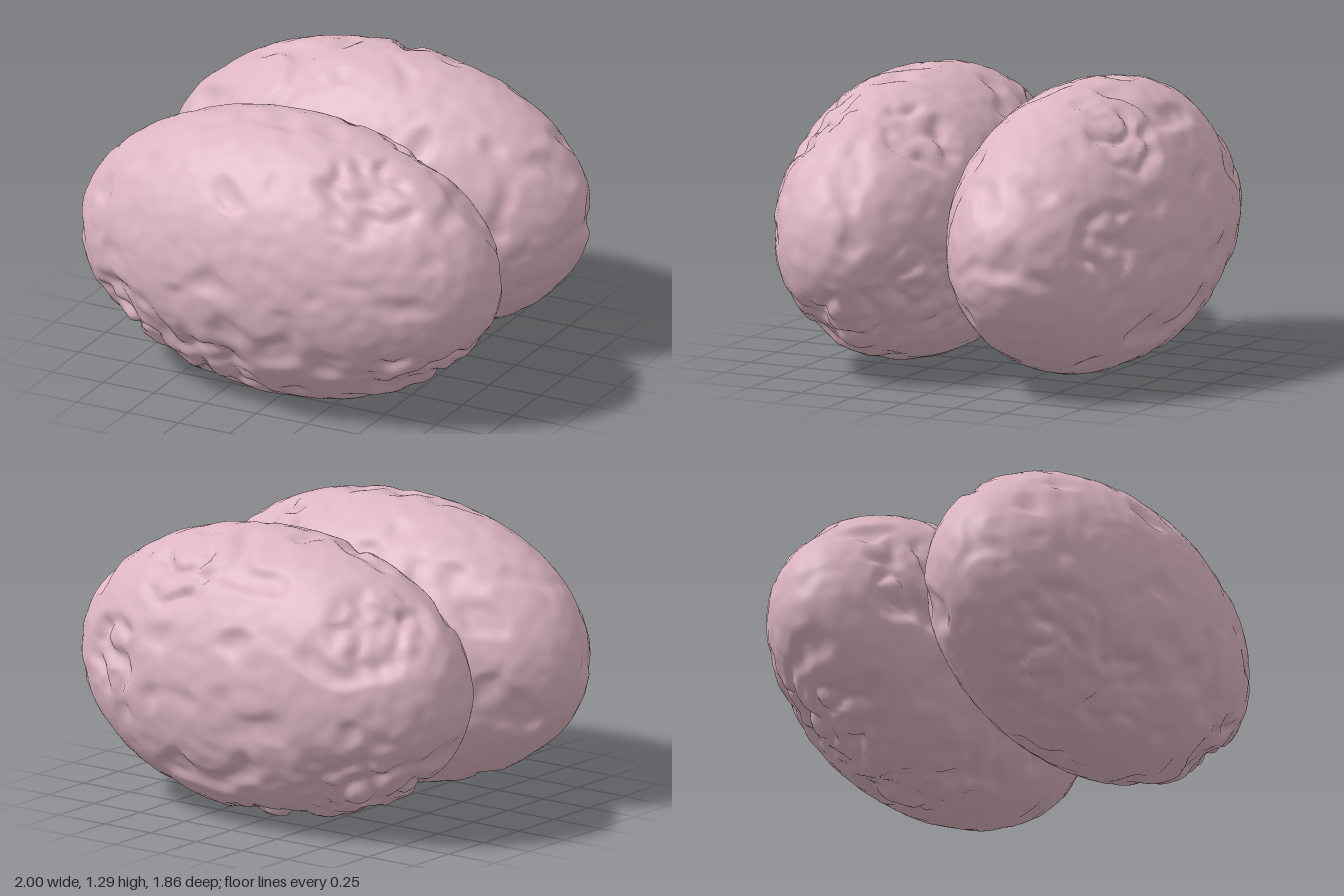
import * as THREE from 'three';
import { mergeVertices } from 'three/addons/utils/BufferGeometryUtils.js';

// Seeded lattice value, -1..1
function hash(x, y, z, seed) {
  let h = Math.imul(x, 374761393) ^ Math.imul(y, 668265263) ^ Math.imul(z, 2147477817) ^ Math.imul(seed, 974711);
  h = Math.imul(h ^ (h >>> 13), 1274126177);
  h = Math.imul(h ^ (h >>> 15), 2246822519);
  return ((h ^ (h >>> 16)) >>> 0) / 2147483648 - 1;
}

// Smooth 3D gradient noise, about -0.7..0.7
function noise(x, y, z, seed) {
  const ix = Math.floor(x), iy = Math.floor(y), iz = Math.floor(z);
  const fx = x - ix, fy = y - iy, fz = z - iz;
  const ease = (t) => t * t * t * (t * (t * 6 - 15) + 10);
  const u = ease(fx), v = ease(fy), w = ease(fz);
  let sum = 0;
  for (let i = 0; i < 8; i++) {
    const a = i & 1, b = (i >> 1) & 1, c = i >> 2;
    const g = [0, 1, 2].map((k) => hash(ix + a, iy + b, iz + c, seed + k * 101));
    const slope = g[0] * (fx - a) + g[1] * (fy - b) + g[2] * (fz - c);
    sum += slope * (a ? u : 1 - u) * (b ? v : 1 - v) * (c ? w : 1 - w);
  }
  return sum;
}

// Ellipsoid with shallow dents all over and recessed, wrinkled patches [x, y, z, radius]
function lobeGeometry(rx, ry, rz, seed, patches) {
  let geo = new THREE.IcosahedronGeometry(1, 44);
  geo.deleteAttribute('uv');
  geo.deleteAttribute('normal');
  geo = mergeVertices(geo, 1e-4);
  const pos = geo.attributes.position;
  const n = new THREE.Vector3(), p = new THREE.Vector3();
  const at = (f, s) => noise(p.x * f + 17.3, p.y * f + 5.7, p.z * f + 9.1, seed + s);
  const step = THREE.MathUtils.smoothstep;
  for (let i = 0; i < pos.count; i++) {
    n.fromBufferAttribute(pos, i).normalize();
    p.set(n.x * rx, n.y * ry, n.z * rz);
    n.set(p.x / rx ** 2, p.y / ry ** 2, p.z / rz ** 2).normalize();
    // Ragged edge of the nearest rough patch
    const ragged = 0.35 * at(5, 1);
    let rough = 0;
    for (const [x, y, z, r] of patches) {
      const d = Math.hypot(p.x - x, p.y - y, p.z - z) / r + ragged;
      rough = Math.max(rough, 1 - step(d, 0.65, 1.1));
    }
    const dents = step(at(5.5, 2), 0.05, 0.5);
    const folds = 1 - step(Math.abs(at(6.5, 3)), 0, 0.3);
    const depth = 0.004 + 0.026 * dents + rough * (0.008 + 0.026 * folds) + (0.008 + 0.012 * rough) * at(13, 4);
    p.addScaledVector(n, -depth);
    pos.setXYZ(i, p.x, p.y, p.z);
  }
  geo.computeVertexNormals();
  return geo;
}

export function createModel() {
  const model = new THREE.Group();
  model.name = 'twinLobes';
  const pink = new THREE.MeshStandardMaterial({ color: 0xdcb5c0 });
  pink.name = 'palePink';

  // Two long lobes lying side by side, pressed together at z = 0
  const lobes = [
    {
      name: 'frontLobe', y: 0.64, z: 0.42, seed: 11,
      patches: [
        [-0.6, -0.36, 0.25, 0.3], [-0.2, -0.48, 0.32, 0.22], [0.66, -0.38, 0.2, 0.2], [0.65, -0.25, -0.32, 0.3],
        [0.82, -0.34, 0, 0.2], [0.5, 0.44, 0.22, 0.24], [0.5, 0.45, -0.25, 0.2],
      ],
    },
    {
      name: 'backLobe', y: 0.652, z: -0.42, seed: 47,
      patches: [
        [-0.72, 0.33, -0.22, 0.25], [-0.62, 0.12, 0.36, 0.25], [-0.6, -0.42, -0.15, 0.36],
        [-0.1, -0.6, 0, 0.3], [0.3, 0.46, -0.3, 0.2], [0.62, 0.05, -0.4, 0.2],
      ],
    },
  ];
  for (const { name, y, z, seed, patches } of lobes) {
    const mesh = new THREE.Mesh(lobeGeometry(1.003, 0.643, 0.512, seed, patches), pink);
    mesh.name = name;
    mesh.position.set(0, y, z);
    model.add(mesh);
  }
  return model;
}
